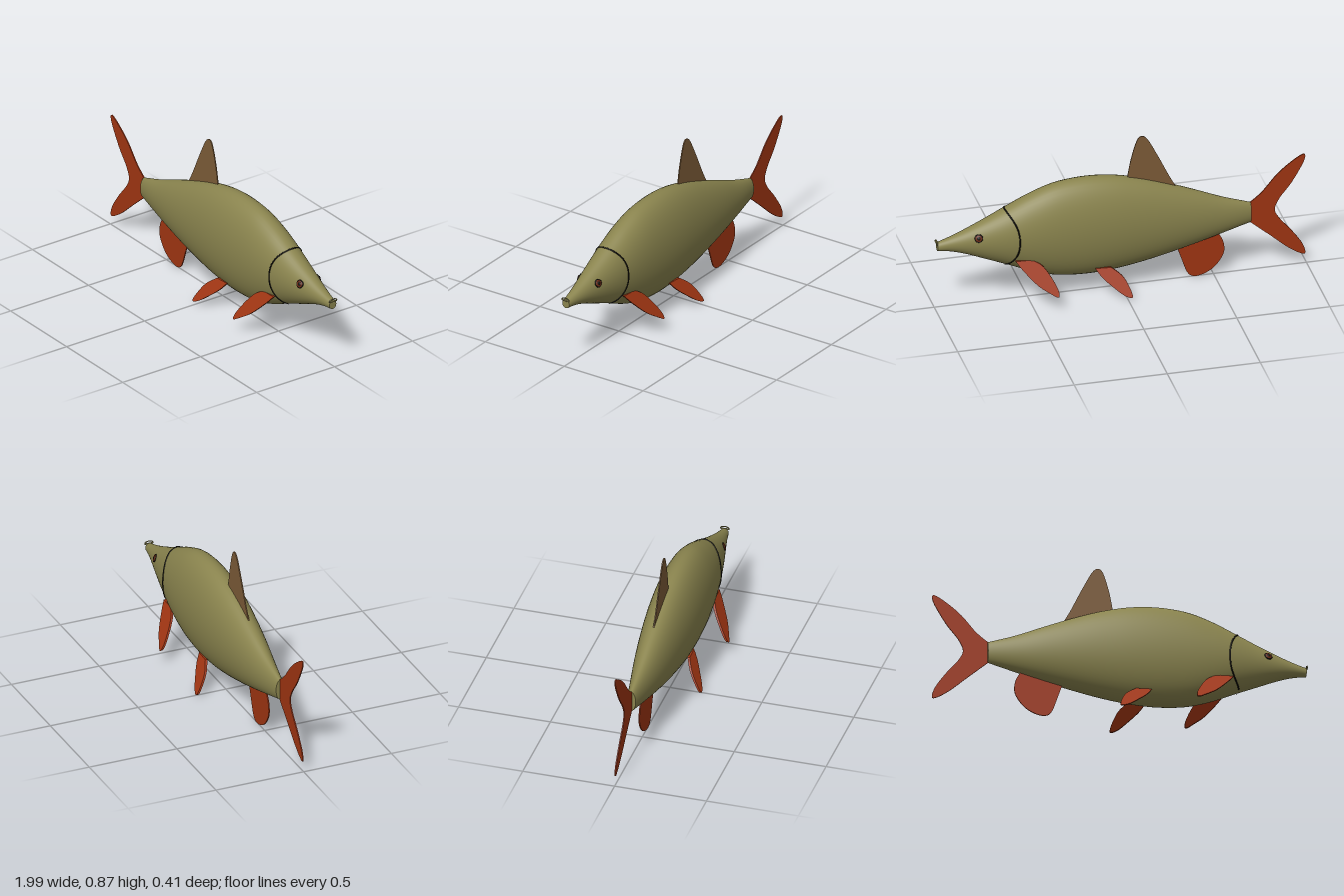
import * as THREE from 'three';

const mat = (name, color) => new THREE.MeshStandardMaterial({ name, color });

// Body stations: x, belly height, back height, half width
const STATIONS = [
  [-0.70, 0.285, 0.400, 0.024], [-0.55, 0.243, 0.450, 0.052], [-0.40, 0.202, 0.512, 0.078],
  [-0.25, 0.165, 0.571, 0.099], [-0.10, 0.133, 0.622, 0.115], [0.05, 0.111, 0.656, 0.126],
  [0.20, 0.104, 0.666, 0.130], [0.35, 0.118, 0.650, 0.127], [0.48, 0.156, 0.606, 0.118],
  [0.60, 0.208, 0.549, 0.102], [0.72, 0.257, 0.490, 0.079], [0.84, 0.305, 0.436, 0.052],
  [0.92, 0.328, 0.405, 0.034], [0.985, 0.336, 0.384, 0.022],
];
const spline = (col) => new THREE.CatmullRomCurve3(
  STATIONS.map((s) => new THREE.Vector3(s[0], s[col], 0)), false, 'catmullrom', 0.5);
const [belly, back, width] = [1, 2, 3].map(spline);

// Ellipse of the body at parameter t
function section(t) {
  const lo = belly.getPoint(t), hi = back.getPoint(t);
  return { x: lo.x, c: (lo.y + hi.y) / 2, h: (hi.y - lo.y) / 2, w: width.getPoint(t).y };
}

// Side surface of the body: z at a given x and y
function sideZ(x, y) {
  let a = 0, b = 1;
  for (let i = 0; i < 30; i++) {
    const m = (a + b) / 2;
    if (belly.getPoint(m).x < x) a = m; else b = m;
  }
  const s = section(a);
  return s.w * Math.sqrt(Math.max(0, 1 - ((y - s.c) / s.h) ** 2));
}

function bodyGeometry(rings = 80, sides = 48) {
  const pos = [], index = [];
  for (let i = 0; i <= rings; i++) {
    const s = section(i / rings);
    for (let j = 0; j < sides; j++) {
      const a = (j / sides) * Math.PI * 2;
      pos.push(s.x, s.c + s.h * Math.cos(a), s.w * Math.sin(a));
      if (i === rings) continue;
      const p = i * sides + j, q = i * sides + ((j + 1) % sides);
      index.push(p, q, p + sides, q, q + sides, p + sides);
    }
  }
  const g = new THREE.BufferGeometry();
  g.setAttribute('position', new THREE.Float32BufferAttribute(pos, 3));
  g.setIndex(index);
  g.computeVertexNormals();
  return g;
}

// Thin fin from a smooth outline; the first and last points form the straight root
function finGeometry(points, thick, zOf = () => 0) {
  const shape = new THREE.Shape();
  shape.moveTo(...points[0]);
  shape.splineThru(points.slice(1).map((p) => new THREE.Vector2(...p)));
  const g = new THREE.ExtrudeGeometry(shape, { depth: thick, bevelEnabled: false, curveSegments: 40 });
  const p = g.attributes.position;
  for (let i = 0; i < p.count; i++) p.setZ(i, p.getZ(i) - thick / 2 + zOf(p.getY(i)));
  g.computeVertexNormals();
  return g;
}

export function createModel() {
  const olive = mat('olive skin', 0x8a844e);
  const red = mat('red fin', 0xa03512);
  const brown = mat('brown fin', 0x7d5c38);
  const iris = mat('iris', 0x6a2814);
  const black = mat('black', 0x14120c);
  const fish = new THREE.Group();
  fish.name = 'fish';
  const add = (name, geo, material, parent = fish) => {
    const m = new THREE.Mesh(geo, material);
    m.name = name;
    parent.add(m);
    return m;
  };

  // Body with flat end caps
  add('body', bodyGeometry(), olive);
  for (const [name, t, dir] of [['tailRootCap', 0, -1], ['snoutCap', 1, 1]]) {
    const s = section(t);
    const cap = add(name, new THREE.CircleGeometry(1, 48), olive);
    cap.scale.set(s.w, s.h, 1);
    cap.rotation.y = dir * Math.PI / 2;
    cap.position.set(s.x, s.c, 0);
  }

  // Fins on the centre line
  add('dorsalFin', finGeometry([[-0.31, 0.53], [-0.265, 0.61], [-0.20, 0.745], [-0.145, 0.848],
    [-0.11, 0.868], [-0.085, 0.835], [-0.055, 0.73], [-0.035, 0.62]], 0.006), brown);
  add('analFin', finGeometry([[-0.52, 0.25], [-0.552, 0.19], [-0.555, 0.12], [-0.51, 0.05],
    [-0.45, 0.012], [-0.395, 0.004], [-0.36, 0.03], [-0.33, 0.11], [-0.30, 0.20]], 0.006), red);
  add('tailFin', finGeometry([[-0.69, 0.395], [-0.76, 0.452], [-0.84, 0.545], [-0.92, 0.612],
    [-0.985, 0.648], [-0.985, 0.605], [-0.92, 0.49], [-0.855, 0.405], [-0.83, 0.342], [-0.855, 0.285],
    [-0.92, 0.205], [-0.98, 0.115], [-0.988, 0.058], [-0.91, 0.10], [-0.80, 0.195], [-0.69, 0.29]],
  0.006), red);

  // Everything paired, mirrored across the centre plane
  for (const [label, side] of [['near', 1], ['far', -1]]) {
    const half = new THREE.Group();
    half.name = label + 'Side';
    half.scale.z = side;
    fish.add(half);

    // Swept paired fins, splaying outward as they go down
    add('pectoralFin', finGeometry([[0.585, 0.267], [0.55, 0.22], [0.485, 0.15], [0.425, 0.108],
      [0.383, 0.086], [0.378, 0.115], [0.405, 0.175], [0.445, 0.232], [0.495, 0.265]], 0.012,
    (y) => 0.088 + (0.267 - y) * 0.62), red, half);
    add('pelvicFin', finGeometry([[0.155, 0.163], [0.125, 0.12], [0.08, 0.078], [0.02, 0.03],
      [-0.022, 0.017], [-0.015, 0.06], [0.015, 0.115], [0.07, 0.16]], 0.012,
    (y) => 0.078 + (0.163 - y) * 0.64), red, half);

    // Gill line following the side of the head
    const gill = [];
    for (let i = 0; i <= 24; i++) {
      const u = (i / 24) * 2 - 1;
      const x = 0.565 + 0.06 * Math.abs(u) ** 2.4, y = 0.382 + 0.158 * u;
      gill.push(new THREE.Vector3(x, y, sideZ(x, y)));
    }
    add('gillLine', new THREE.TubeGeometry(new THREE.CatmullRomCurve3(gill), 60, 0.004, 8), black, half);

    // Eye lying on the surface
    const x = 0.775, y = 0.412, e = 0.01, z = sideZ(x, y);
    const normal = new THREE.Vector3((z - sideZ(x + e, y)) / e, (z - sideZ(x, y + e)) / e, 1).normalize();
    const eye = new THREE.Group();
    eye.name = 'eye';
    eye.position.set(x, y, z);
    eye.quaternion.setFromUnitVectors(new THREE.Vector3(0, 0, 1), normal);
    half.add(eye);
    add('iris', new THREE.SphereGeometry(0.02, 24, 16), iris, eye).scale.z = 0.35;
    add('eyeRim', new THREE.TorusGeometry(0.019, 0.0035, 8, 32), black, eye);
    const pupil = add('pupil', new THREE.SphereGeometry(0.01, 20, 12), black, eye);
    pupil.scale.z = 0.4;
    pupil.position.z = 0.005;
  }

  // Lips: an arched upper lip over a straight lower one
  const upper = add('upperLip', new THREE.TorusGeometry(0.022, 0.004, 8, 24, Math.PI), olive);
  upper.rotation.y = Math.PI / 2;
  upper.scale.y = 0.5;
  upper.position.set(0.988, 0.384, 0);
  const lower = add('lowerLip', new THREE.CapsuleGeometry(0.004, 0.042, 4, 10), olive);
  lower.rotation.x = Math.PI / 2;
  lower.position.set(0.988, 0.381, 0);

  return fish;
}
